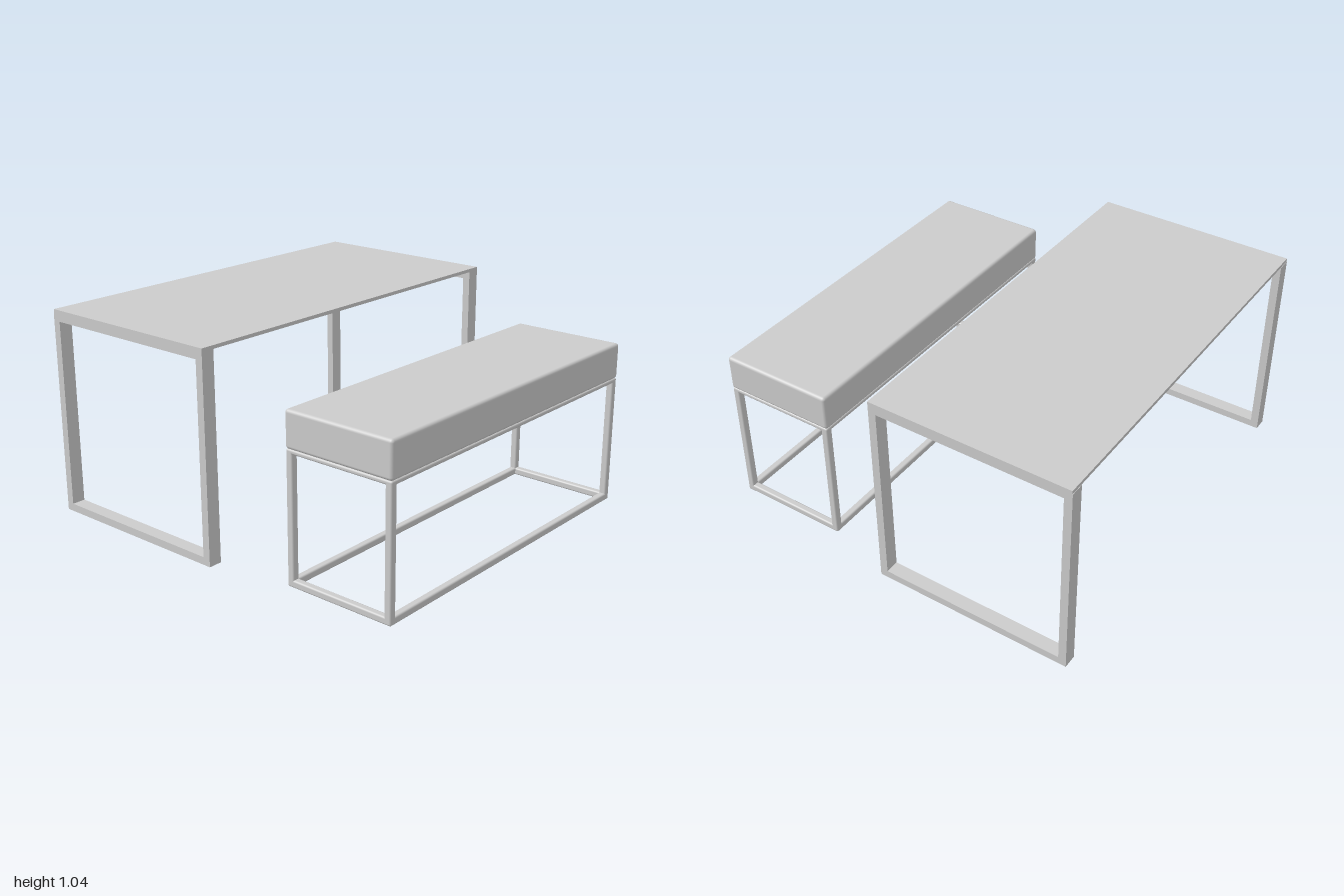
import * as THREE from 'three';
import { RoundedBoxGeometry } from 'three/addons/geometries/RoundedBoxGeometry.js';

const material = new THREE.MeshStandardMaterial({ color: 0xcccccc });

// Box given by its min and max corners, with optional rounded edges
function block(parent, name, [x0, y0, z0], [x1, y1, z1], radius = 0) {
  const size = [x1 - x0, y1 - y0, z1 - z0];
  const geometry = radius
    ? new RoundedBoxGeometry(...size, 3, radius)
    : new THREE.BoxGeometry(...size);
  const mesh = new THREE.Mesh(geometry, material);
  mesh.name = name;
  mesh.position.set((x0 + x1) / 2, (y0 + y1) / 2, (z0 + z1) / 2);
  parent.add(mesh);
}

function rectangle(target, x0, y0, x1, y1) {
  target.moveTo(x0, y0);
  target.lineTo(x1, y0);
  target.lineTo(x1, y1);
  target.lineTo(x0, y1);
  target.closePath();
  return target;
}

function createTable() {
  const table = new THREE.Group();
  table.name = 'table';
  block(table, 'tableTop', [-1, 1.02, -0.965], [1, 1.037, 0.033]);

  // Rectangular loop legs, drawn in the z-y plane and extruded along x
  const outline = rectangle(new THREE.Shape(), -0.033, 0.022, 0.967, 1.02);
  outline.holes.push(rectangle(new THREE.Path(), 0.006, 0.06, 0.928, 0.982));
  const loop = new THREE.ExtrudeGeometry(outline, { depth: 0.068, bevelEnabled: false });
  loop.rotateY(Math.PI / 2);
  for (const [name, x] of [['rightLegFrame', -1], ['leftLegFrame', 0.932]]) {
    const leg = new THREE.Mesh(loop, material);
    leg.name = name;
    leg.position.x = x;
    table.add(leg);
  }
  return table;
}

function createBench() {
  const bench = new THREE.Group();
  bench.name = 'bench';
  const x0 = -0.876, x1 = 0.884, z0 = 0.39, z1 = 0.963, w = 0.036, r = 0.009;
  block(bench, 'seatCushion', [-0.878, 0.64, 0.387], [0.887, 0.818, 0.965], 0.016);

  // Corner legs
  for (const x of [x0, x1 - w]) {
    for (const z of [z0, z1 - w]) {
      block(bench, 'benchLeg', [x, 0.003, z], [x + w, 0.641, z + w], r);
    }
  }
  // Bottom and top rails around the frame
  for (const [name, y, top] of [['bottomRail', 0, 0.036], ['topRail', 0.62, 0.642]]) {
    for (const z of [z0, z1 - w]) block(bench, name, [x0, y, z], [x1, top, z + w], r);
    for (const x of [x0, x1 - w]) block(bench, name, [x, y, z0], [x + w, top, z1], r);
  }
  return bench;
}

export function createModel() {
  const model = new THREE.Group();
  model.name = 'tableAndBench';
  model.add(createTable(), createBench());
  return model;
}
